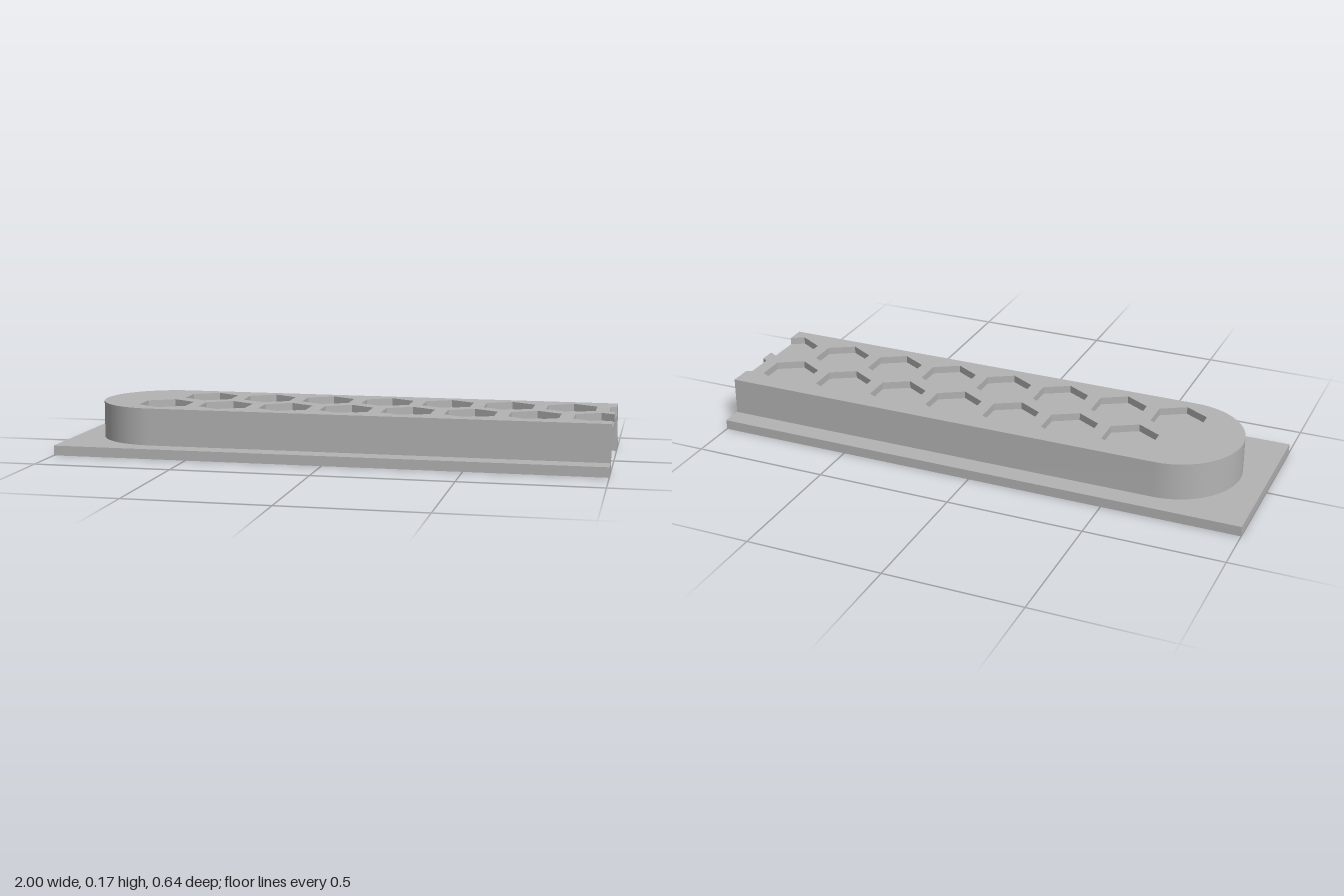
import * as THREE from 'three';
import { mergeGeometries, toCreasedNormals } from 'three/addons/utils/BufferGeometryUtils.js';

// Plan outlines are 2D points (x, v) with v = -z.
const END = 1, HALF = 0.322, OUTER = 0.245, INNER = 0.21, ARC_X = -0.66;
const FLANGE_Y = 0.036, CEILING_Y = 0.124, POCKET_Y = 0.145, TOP_Y = 0.172;
const HEX_R = 0.103, PITCH = 0.2275;
const P = (x, y) => new THREE.Vector2(x, y);

// Open U outline: straight side, rounded end at -x, straight side
function slot(r) {
  const pts = [P(END, r)];
  for (let i = 0; i <= 48; i++) {
    const a = Math.PI / 2 + (Math.PI * i) / 48;
    pts.push(P(ARC_X + r * Math.cos(a), r * Math.sin(a)));
  }
  pts.push(P(END, -r));
  return pts;
}

// Clockwise hexagon, cut off where it runs past the open end
function hexagon(cx, cv) {
  const pts = [-30, -90, -150, 150, 90, 30]
    .map((d) => THREE.MathUtils.degToRad(d))
    .map((a) => P(cx + HEX_R * Math.cos(a), cv + HEX_R * Math.sin(a)));
  if (pts[0].x <= END) return { pts, cut: false };
  const h = HEX_R - Math.abs(END - cx) / Math.sqrt(3);
  return { pts: [P(END, cv - h), ...pts.filter((p) => p.x < END), P(END, cv + h)], cut: true };
}

// Horizontal face facing up or down
function cap(pts, y, up = true, holes = []) {
  const shape = new THREE.Shape(pts);
  shape.holes = holes.map((h) => new THREE.Path(h));
  const g = new THREE.ShapeGeometry(shape);
  g.rotateX(up ? -Math.PI / 2 : Math.PI / 2).translate(0, y, 0);
  return g.toNonIndexed();
}

// Vertical wall along a path, facing to the right of its direction
function wall(pts, y0, y1, closed = false) {
  const path = closed ? [...pts, pts[0]] : pts;
  const pos = [];
  for (let i = 0; i < path.length - 1; i++) {
    const a = path[i], b = path[i + 1];
    pos.push(a.x, y0, -a.y, b.x, y0, -b.y, b.x, y1, -b.y);
    pos.push(a.x, y0, -a.y, b.x, y1, -b.y, a.x, y1, -a.y);
  }
  const g = new THREE.BufferGeometry();
  g.setAttribute('position', new THREE.Float32BufferAttribute(pos, 3));
  return g;
}

export function createModel() {
  const group = new THREE.Group();
  const grey = new THREE.MeshStandardMaterial({ color: 0xb4b4b4 });

  function add(name, parts) {
    for (const g of parts) {
      g.deleteAttribute('uv');
      g.deleteAttribute('normal');
    }
    const mesh = new THREE.Mesh(toCreasedNormals(mergeGeometries(parts), 0.5), grey);
    mesh.name = name;
    group.add(mesh);
  }

  const outer = slot(OUTER);
  const inner = slot(INNER).reverse();
  const plate = [P(END, HALF), P(-1, HALF), P(-1, -HALF), P(END, -HALF)];

  // Two staggered rows of hexagonal pockets
  const pockets = [];
  for (const [start, v] of [[-0.64, -0.1], [-0.525, 0.1]]) {
    for (let i = 0; i < 8; i++) pockets.push(hexagon(start + i * PITCH, v));
  }
  const holes = pockets.filter((p) => !p.cut).map((p) => p.pts);
  const notches = pockets.filter((p) => p.cut).map((p) => p.pts);

  // Flat flange around the housing
  add('flange', [
    wall(plate, 0, FLANGE_Y),
    cap([...plate, ...slot(OUTER).reverse()], FLANGE_Y),
    cap([...plate, ...inner], 0, false),
  ]);

  // Raised housing with its pierced top
  add('housing', [
    wall(outer, FLANGE_Y, TOP_Y),
    cap([...outer, ...notches.flat()], TOP_Y, true, holes),
  ]);

  // Hollow channel underneath
  add('channel', [
    wall(inner, 0, CEILING_Y),
    cap(inner, CEILING_Y, false),
  ]);

  // Pocket walls and floors
  add('hexPockets', pockets.flatMap(({ pts, cut }) => [
    wall(pts, POCKET_Y, TOP_Y, !cut),
    cap(pts, POCKET_Y),
  ]));

  // Cut end face showing the hat-shaped section
  const section = [
    P(-HALF, 0), P(-INNER, 0), P(-INNER, CEILING_Y), P(INNER, CEILING_Y), P(INNER, 0),
    P(HALF, 0), P(HALF, FLANGE_Y), P(OUTER, FLANGE_Y), P(OUTER, TOP_Y),
  ];
  for (const n of [...notches].reverse()) {
    const low = n[0].y, high = n[n.length - 1].y;
    section.push(P(high, TOP_Y), P(high, POCKET_Y), P(low, POCKET_Y), P(low, TOP_Y));
  }
  section.push(P(-OUTER, TOP_Y), P(-OUTER, FLANGE_Y), P(-HALF, FLANGE_Y));
  const end = new THREE.ShapeGeometry(new THREE.Shape(section)).toNonIndexed();
  add('endFace', [end.rotateY(Math.PI / 2).translate(END, 0, 0)]);

  return group;
}
